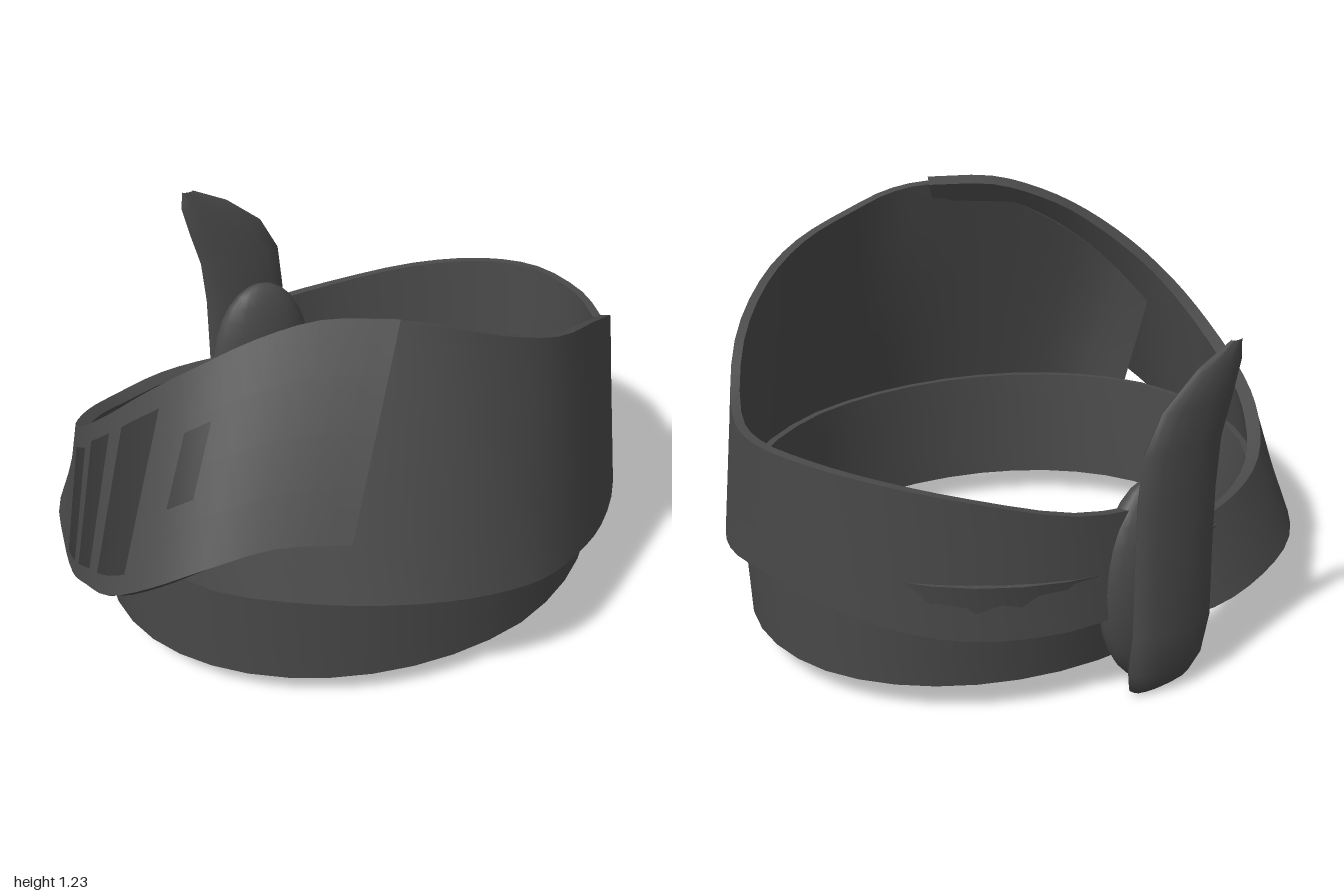
import * as THREE from 'three';
import { toCreasedNormals, mergeVertices } from 'three/addons/utils/BufferGeometryUtils.js';

const V = (x, y, z) => new THREE.Vector3(x, y, z);
const cloth = new THREE.MeshStandardMaterial({ color: 0x4a4a4a });
const dark = new THREE.MeshStandardMaterial({ color: 0x363636 });

// Skin a row of equal-length point loops, capping the ends when asked
function loft(loops, capped) {
  const n = loops[0].length, pos = [];
  const tri = (a, b, c) => pos.push(...a.toArray(), ...b.toArray(), ...c.toArray());
  for (let i = 0; i < loops.length - 1; i++) {
    for (let j = 0; j < n; j++) {
      const k = (j + 1) % n, a = loops[i], b = loops[i + 1];
      tri(a[j], b[j], b[k]);
      tri(a[j], b[k], a[k]);
    }
  }
  if (capped) {
    [loops[0], loops[loops.length - 1]].forEach((loop, end) => {
      const c = loop.reduce((s, p) => s.add(p), V(0, 0, 0)).divideScalar(n);
      loop.forEach((p, j) => {
        const q = loop[(j + 1) % n];
        end ? tri(c, p, q) : tri(c, q, p);
      });
    });
  }
  // Turn the faces outward if the enclosed volume is negative
  let volume = 0;
  for (let i = 0; i < pos.length; i += 9) {
    const [a, b, c] = [0, 3, 6].map(o => V(pos[i + o], pos[i + o + 1], pos[i + o + 2]));
    volume += a.dot(b.cross(c));
  }
  if (volume < 0) {
    for (let i = 0; i < pos.length; i += 9) {
      for (let k = 3; k < 6; k++) [pos[i + k], pos[i + k + 3]] = [pos[i + k + 3], pos[i + k]];
    }
  }
  const g = new THREE.BufferGeometry();
  g.setAttribute('position', new THREE.Float32BufferAttribute(pos, 3));
  return toCreasedNormals(mergeVertices(g), 0.9);
}

// Surface stretched between a lower and an upper edge curve
function ruled(columns) {
  const low = new THREE.CatmullRomCurve3(columns.map(c => V(...c[0])));
  const high = new THREE.CatmullRomCurve3(columns.map(c => V(...c[1])));
  return (u, v) => low.getPoint(u).lerp(high.getPoint(u), v);
}

// Thick sheet over part of a surface, with thickness measured inward
function sheet(surface, thick, steps, { u0 = 0, u1 = 1, v0 = 0, v1 = 1, lift = 0, capped = true } = {}) {
  const rows = 4, loops = [];
  for (let i = 0; i <= steps; i++) {
    const u = u0 + (u1 - u0) * i / steps, e = 0.004;
    const a = Math.max(0, u - e), b = Math.min(1, u + e);
    const outer = [], inner = [];
    for (let j = 0; j <= rows; j++) {
      const v = v0 + (v1 - v0) * j / rows, p = surface(u, v);
      const n = surface(b, v).sub(surface(a, v)).cross(surface(u, 1).sub(surface(u, 0))).normalize();
      if (n.x * (p.x - 0.05) + n.z * p.z < 0) n.negate();
      outer.push(p.clone().addScaledVector(n, lift));
      inner.unshift(p.clone().addScaledVector(n, lift - thick));
    }
    loops.push([...outer, ...inner]);
  }
  return loft(loops, capped);
}

export function createModel() {
  const model = new THREE.Group();
  const add = (name, geometry, material = cloth) => {
    const mesh = new THREE.Mesh(geometry, material);
    mesh.name = name;
    model.add(mesh);
    return mesh;
  };

  // Inner ring, flaring towards its top and narrower at the back
  const ring = (u, v) => {
    const a = u * Math.PI * 2, c = Math.cos(a), s = Math.sin(a), back = Math.max(0, -s);
    const f = 1 + (0.025 + 0.075 * back) * v;
    return V(0.08 + 0.86 * f * c, 0.08 + 0.37 * v + back * (0.015 - 0.065 * v),
      0.02 + 0.05 * Math.min(0, c) + 0.715 * f * s);
  };
  add('innerBand', sheet(ring, 0.025, 40, { capped: false }));

  // Tall front band: [lower edge, upper edge] from the knot round the left side
  const front = ruled([
    [[0.36, 0.28, -0.75], [0.34, 0.57, -0.74]],
    [[0.62, 0.25, -0.61], [0.60, 0.60, -0.62]],
    [[0.83, 0.25, -0.40], [0.82, 0.67, -0.41]],
    [[0.95, 0.29, -0.18], [0.95, 0.72, -0.19]],
    [[0.98, 0.33, 0.03], [0.995, 0.745, 0.02]],
    [[0.94, 0.34, 0.25], [0.95, 0.745, 0.25]],
    [[0.83, 0.31, 0.47], [0.82, 0.755, 0.44]],
    [[0.66, 0.29, 0.64], [0.64, 0.90, 0.58]],
    [[0.42, 0.30, 0.77], [0.40, 1.01, 0.685]],
    [[0.20, 0.33, 0.835], [0.15, 1.08, 0.738]],
    [[0.00, 0.36, 0.86], [-0.05, 1.145, 0.69]],
    [[-0.20, 0.39, 0.82], [-0.20, 1.20, 0.61]],
    [[-0.40, 0.42, 0.73], [-0.33, 1.215, 0.485]],
    [[-0.60, 0.43, 0.55], [-0.54, 1.12, 0.30]],
    [[-0.79, 0.44, 0.28], [-0.75, 0.93, 0.11]],
    [[-0.82, 0.44, 0.04], [-0.82, 0.76, -0.04]],
  ]);
  add('frontBand', sheet(front, 0.028, 45));

  // Side strap: laps over the front band, drops round the right and ends inside the knot
  const strapColumns = [
    [[-0.57, 0.66, 0.62], [-0.29, 1.23, 0.53]],
    [[-0.73, 0.66, 0.48], [-0.44, 1.225, 0.37]],
    [[-0.88, 0.60, 0.35], [-0.57, 1.17, 0.25]],
    [[-0.97, 0.51, 0.21], [-0.68, 1.09, 0.14]],
    [[-1.00, 0.42, 0.06], [-0.76, 0.98, 0.00]],
    [[-0.95, 0.34, -0.12], [-0.80, 0.86, -0.14]],
    [[-0.88, 0.26, -0.28], [-0.77, 0.74, -0.30]],
    [[-0.77, 0.23, -0.47], [-0.66, 0.61, -0.50]],
    [[-0.62, 0.22, -0.68], [-0.51, 0.54, -0.63]],
    [[-0.38, 0.21, -0.82], [-0.33, 0.48, -0.72]],
    [[-0.10, 0.20, -0.86], [-0.09, 0.45, -0.76]],
    [[0.14, 0.18, -0.82], [0.13, 0.43, -0.73]],
    [[0.35, 0.17, -0.69], [0.34, 0.42, -0.64]],
  ];
  const strap = ruled(strapColumns);
  add('sideStrap', sheet(strap, 0.045, 36));

  // Dark panels on the strap: start column, end column, low and high fractions
  const panels = [[2.5, 3.0, 0.36, 0.7], [3.65, 4.5, 0.1, 0.88], [4.85, 5.5, 0.1, 0.88], [5.8, 6.35, 0.1, 0.85]];
  const last = strapColumns.length - 1;
  for (const [a, b, v0, v1] of panels) {
    add('strapPanel', sheet(strap, 0.008, 4, { u0: a / last, u1: b / last, v0, v1, lift: 0.004 }), dark);
  }

  // Knot
  const knot = add('knot', new THREE.SphereGeometry(1, 20, 14));
  knot.scale.set(0.19, 0.32, 0.085);
  knot.position.set(0.34, 0.335, -0.71);
  knot.rotation.y = -0.34;

  // Upright tail: height, centre x, centre z, half width, half thickness
  const tail = [
    [0.00, 0.36, -0.745, 0.08, 0.02], [0.02, 0.355, -0.755, 0.115, 0.035],
    [0.08, 0.35, -0.77, 0.14, 0.045], [0.20, 0.34, -0.782, 0.15, 0.045],
    [0.40, 0.335, -0.78, 0.15, 0.04], [0.60, 0.33, -0.78, 0.15, 0.04],
    [0.75, 0.315, -0.785, 0.15, 0.035], [0.87, 0.27, -0.805, 0.135, 0.03],
    [0.97, 0.20, -0.832, 0.085, 0.02], [1.03, 0.145, -0.853, 0.02, 0.008],
  ];
  add('knotTail', loft(tail.map(([y, cx, cz, w, t]) => Array.from({ length: 14 }, (_, i) => {
    const a = i / 14 * Math.PI * 2, s = w * Math.cos(a), d = t * Math.sin(a);
    return V(cx + 0.95 * s - 0.31 * d, y, cz + 0.31 * s + 0.95 * d);
  })), true));

  return model;
}
